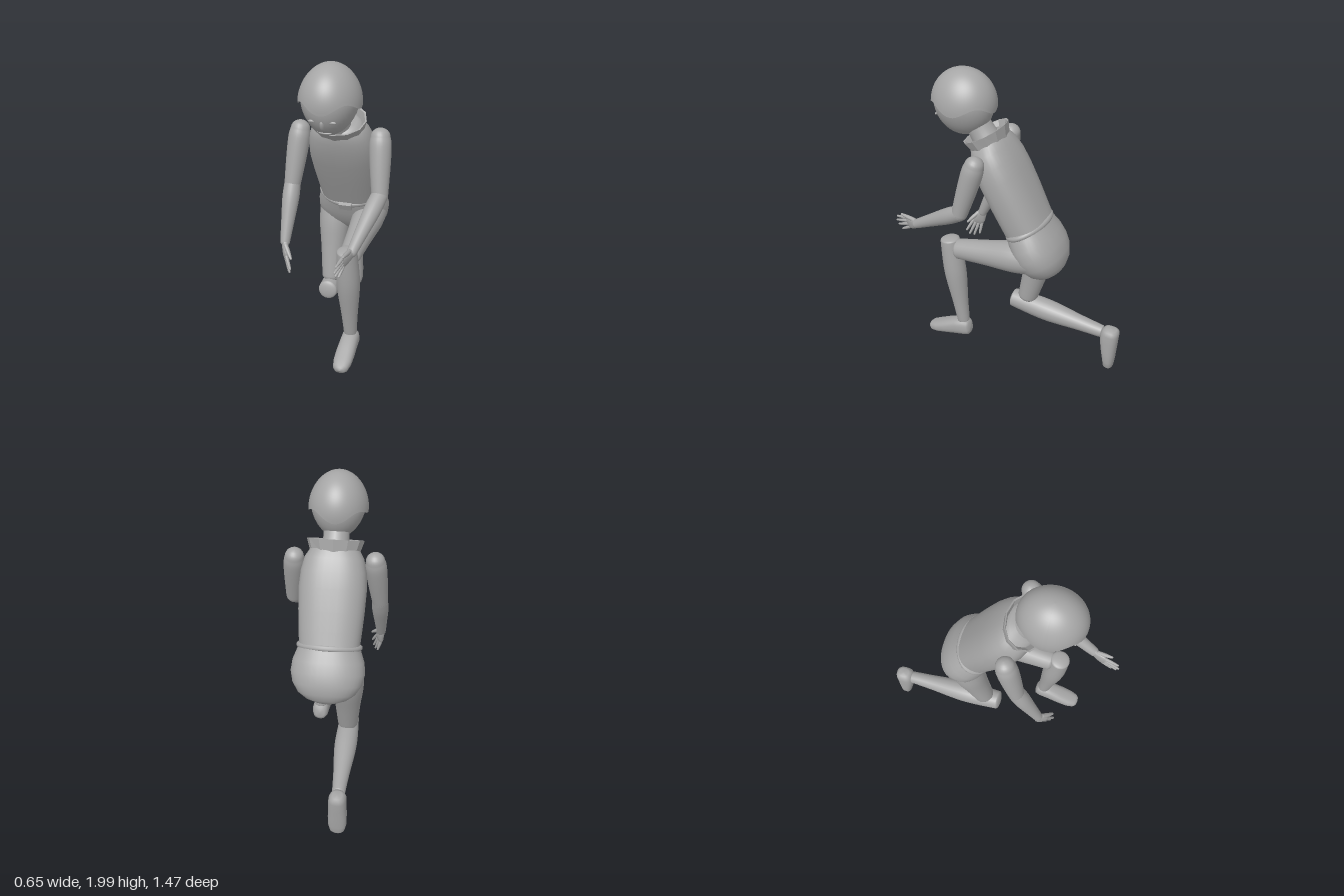
import * as THREE from 'three';

const grey = new THREE.MeshStandardMaterial({ color: 0xa6a6a6, side: THREE.DoubleSide });
grey.name = 'plain grey';
const V = (x, y, z) => new THREE.Vector3(x, y, z);

// Closed skin over rings [height, halfWidth, halfDepth, zOffset] stacked along y; p squares the outline.
function loft(rings, n = 28, p = 2) {
  const pos = [], idx = [];
  const bend = v => Math.sign(v) * Math.abs(v) ** (2 / p);
  rings.forEach(([y, rx, rz, oz = 0]) => {
    for (let j = 0; j < n; j++) {
      const a = j / n * Math.PI * 2;
      pos.push(rx * bend(Math.sin(a)), y, oz + rz * bend(Math.cos(a)));
    }
  });
  for (let i = 0; i < rings.length - 1; i++) for (let j = 0; j < n; j++) {
    const a = i * n + j, b = i * n + (j + 1) % n;
    idx.push(a, b, a + n, b, b + n, a + n);
  }
  const g = new THREE.BufferGeometry();
  g.setAttribute('position', new THREE.Float32BufferAttribute(pos, 3));
  g.setIndex(idx);
  g.computeVertexNormals();
  return g;
}

function add(parent, name, geometry) {
  const m = new THREE.Mesh(geometry, grey);
  m.name = name;
  parent.add(m);
  return m;
}

// Smooth radius profile through a few [t, r] points, with rounded ends.
function limb(parent, name, a, b, profile, cap = 0.5, n = 24) {
  const len = a.distanceTo(b);
  const curve = new THREE.SplineCurve(profile.map(([t, r]) => new THREE.Vector2(t * len, r)));
  const body = curve.getPoints(12).map(q => [q.x, q.y, q.y]);
  const r0 = body[0][1], r1 = body[12][1], rings = [];
  for (let i = 0; i < 6; i++) {
    const s = i / 6 * Math.PI / 2, r = Math.max(r0 * Math.sin(s), 1e-4);
    rings.push([body[0][0] - cap * r0 * Math.cos(s), r, r]);
  }
  rings.push(...body);
  for (let i = 5; i >= 0; i--) {
    const s = i / 6 * Math.PI / 2, r = Math.max(r1 * Math.sin(s), 1e-4);
    rings.push([len + cap * r1 * Math.cos(s), r, r]);
  }
  const m = add(parent, name, loft(rings, n));
  m.position.copy(a);
  m.quaternion.setFromUnitVectors(V(0, 1, 0), b.clone().sub(a).normalize());
  return m;
}

function place(obj, origin, yAxis, zAxis) {
  const y = yAxis.clone().normalize();
  const x = y.clone().cross(zAxis).normalize();
  const z = x.clone().cross(y);
  obj.quaternion.setFromRotationMatrix(new THREE.Matrix4().makeBasis(x, y, z));
  obj.position.copy(origin);
}

// Foot runs along y from heel to toe, with +z towards the ankle.
function foot(parent, name, heel, along, up) {
  const m = add(parent, name, loft([
    [0, 1e-4, 1e-4, 0.055], [0.002, 0.03, 0.035, 0.055], [0.012, 0.046, 0.052, 0.056],
    [0.04, 0.055, 0.06, 0.06], [0.1, 0.056, 0.058, 0.058], [0.18, 0.059, 0.048, 0.048],
    [0.25, 0.057, 0.038, 0.038], [0.295, 0.046, 0.032, 0.034], [0.312, 0.03, 0.022, 0.033],
    [0.318, 1e-4, 1e-4, 0.033]], 28, 2.5));
  place(m, heel, along, up);
}

// Hand points along y; the thumb lies on its +x side.
function hand(parent, name, wrist, dir, thumbSide) {
  const h = new THREE.Group();
  h.name = name;
  add(h, 'palm', loft([[-0.03, 1e-4, 1e-4], [-0.025, 0.026, 0.02], [0.02, 0.034, 0.02],
    [0.06, 0.043, 0.017], [0.09, 0.04, 0.013], [0.1, 1e-4, 1e-4]], 20, 2.4));
  for (let i = 0; i < 4; i++) {
    const k = 1.5 - i, reach = [0.165, 0.185, 0.18, 0.155][i];
    limb(h, 'finger', V(k * 0.02, 0.08, 0), V(k * 0.03, reach, 0.018),
      [[0, 0.0105], [0.5, 0.01], [1, 0.007]], 1, 10);
  }
  limb(h, 'thumb', V(0.025, 0.02, 0), V(0.066, 0.1, 0.022), [[0, 0.014], [0.5, 0.013], [1, 0.008]], 1, 10);
  place(h, wrist, dir, thumbSide.clone().cross(dir));
  parent.add(h);
}

export function createModel() {
  const model = new THREE.Group();
  model.name = 'kneelingFigure';

  // Leaning trunk: local origin at the waist, y along the spine
  const trunk = new THREE.Group();
  trunk.name = 'trunk';
  trunk.position.set(0, 1.045, -0.125);
  trunk.rotation.x = 0.47;
  model.add(trunk);
  add(trunk, 'torso', loft([[-0.02, 0.185, 0.135], [0.1, 0.195, 0.137], [0.22, 0.203, 0.14],
    [0.36, 0.208, 0.14], [0.46, 0.2, 0.135], [0.54, 0.18, 0.122], [0.59, 0.15, 0.108],
    [0.625, 0.11, 0.09], [0.64, 1e-4, 1e-4]], 36, 2.4));
  add(trunk, 'pelvis', loft([[-0.36, 1e-4, 1e-4, 0], [-0.352, 0.06, 0.05, -0.01], [-0.33, 0.125, 0.088, -0.01],
    [-0.29, 0.178, 0.118, -0.015], [-0.23, 0.215, 0.143, -0.012], [-0.16, 0.23, 0.153, -0.006],
    [-0.09, 0.222, 0.148, -0.004], [-0.03, 0.2, 0.14], [0.01, 0.186, 0.135]], 36, 2.2));

  // Belt with buckle
  const belt = add(trunk, 'belt', new THREE.TorusGeometry(1, 0.1, 10, 48).rotateX(Math.PI / 2));
  belt.scale.set(0.186, 0.18, 0.133);
  add(trunk, 'buckle', new THREE.BoxGeometry(0.078, 0.046, 0.025)).position.set(0, 0, 0.147);

  // Neck and flared faceted collar
  limb(model, 'neck', V(0, 1.54, 0.14), V(0, 1.7, 0.25), [[0, 0.09], [0.5, 0.08], [1, 0.08]]);
  const collar = add(trunk, 'collar', loft([[0.575, 0.152, 0.112], [0.65, 0.176, 0.14],
    [0.648, 0.166, 0.13], [0.585, 0.13, 0.095]], 12).toNonIndexed());
  collar.geometry.computeVertexNormals();

  // Head, narrowing to the chin
  const head = new THREE.Group();
  head.name = 'head';
  head.position.set(0, 1.79, 0.31);
  model.add(head);
  const skull = new THREE.SphereGeometry(1, 36, 24), sp = skull.attributes.position;
  for (let i = 0; i < sp.count; i++) {
    const y = sp.getY(i), k = y < 0 ? 1 + 0.12 * y : 1;
    sp.setXYZ(i, sp.getX(i) * 0.168 * k, y * 0.205, sp.getZ(i) * 0.187);
  }
  skull.computeVertexNormals();
  add(head, 'face', skull);

  // Hair cap with a wavy lower edge
  const hairRings = 18, cap = new THREE.SphereGeometry(1, 64, hairRings, 0, Math.PI * 2, 0, Math.PI / 2);
  const cp = cap.attributes.position, cu = cap.attributes.uv;
  for (let i = 0; i < cp.count; i++) {
    const u = cu.getX(i) * Math.PI * 2, t = 1 - cu.getY(i);
    const end = Math.PI / 2 + 0.04 + 0.13 * Math.cos(4 * u);
    const s = Math.sin(t * end), c = Math.cos(t * end);
    cp.setXYZ(i, -Math.cos(u) * s * 0.182 * (1 - 0.08 * c), c * 0.21, Math.sin(u) * s * 0.204);
  }
  cap.computeVertexNormals();
  add(head, 'hair', cap);

  // Eyes, nose and mouth
  for (const s of [-1, 1]) {
    const eye = add(head, 'eye', new THREE.SphereGeometry(1, 14, 8));
    eye.scale.set(0.024, 0.009, 0.008);
    eye.position.set(s * 0.058, -0.083, 0.156);
  }
  const nose = add(head, 'nose', new THREE.SphereGeometry(1, 12, 8));
  nose.scale.set(0.015, 0.04, 0.018);
  nose.position.set(0, -0.11, 0.152);
  nose.rotation.x = 0.5;
  const mouth = add(head, 'mouth', new THREE.SphereGeometry(1, 14, 8));
  mouth.scale.set(0.04, 0.009, 0.014);
  mouth.position.set(0, -0.167, 0.102);

  // Arms
  const upperArm = [[0, 0.058], [0.15, 0.066], [0.5, 0.062], [1, 0.05]];
  const foreArm = [[0, 0.05], [0.25, 0.052], [0.6, 0.042], [1, 0.03]];
  const arms = [
    ['left', V(0.247, 1.52, 0.12), V(0.272, 1.185, 0.215), V(0.2, 0.975, 0.57), V(-0.35, -0.3, 0.9), V(0, 1, 0.3)],
    ['right', V(-0.247, 1.52, 0.12), V(-0.278, 1.19, 0.2), V(-0.283, 0.86, 0.35), V(0.15, -0.9, 0.38), V(0.45, 0.3, 0.85)],
  ];
  for (const [side, shoulder, elbow, wrist, dir, thumb] of arms) {
    limb(model, side + 'UpperArm', shoulder, elbow, upperArm, 0.9);
    limb(model, side + 'Forearm', elbow, wrist, foreArm, 0.8);
    hand(model, side + 'Hand', wrist, dir.normalize(), thumb.normalize());
  }

  // Legs: the left foot is planted ahead, the right knee is lowered
  const thigh = [[0, 0.098], [0.25, 0.1], [0.6, 0.082], [1, 0.066]];
  const shin = [[0, 0.062], [0.25, 0.071], [0.45, 0.07], [0.75, 0.052], [1, 0.041]];
  limb(model, 'leftThigh', V(0.125, 0.885, -0.2), V(0.12, 0.812, 0.31), thigh, 0.5);
  limb(model, 'leftShin', V(0.118, 0.865, 0.378), V(0.118, 0.25, 0.298), shin, 0.3);
  foot(model, 'leftFoot', V(0.12, 0.148, 0.235), V(0, -0.18, 0.984), V(0, 0.984, 0.18));
  limb(model, 'rightThigh', V(-0.122, 0.9, -0.19), V(-0.114, 0.42, -0.072), thigh, 0.6);
  limb(model, 'rightShin', V(-0.114, 0.362, 0.03), V(-0.118, 0.285, -0.6), shin, 0.3);
  foot(model, 'rightFoot', V(-0.118, 0.322, -0.722), V(0, -1, 0.09), V(0, 0.09, 1));

  return model;
}
